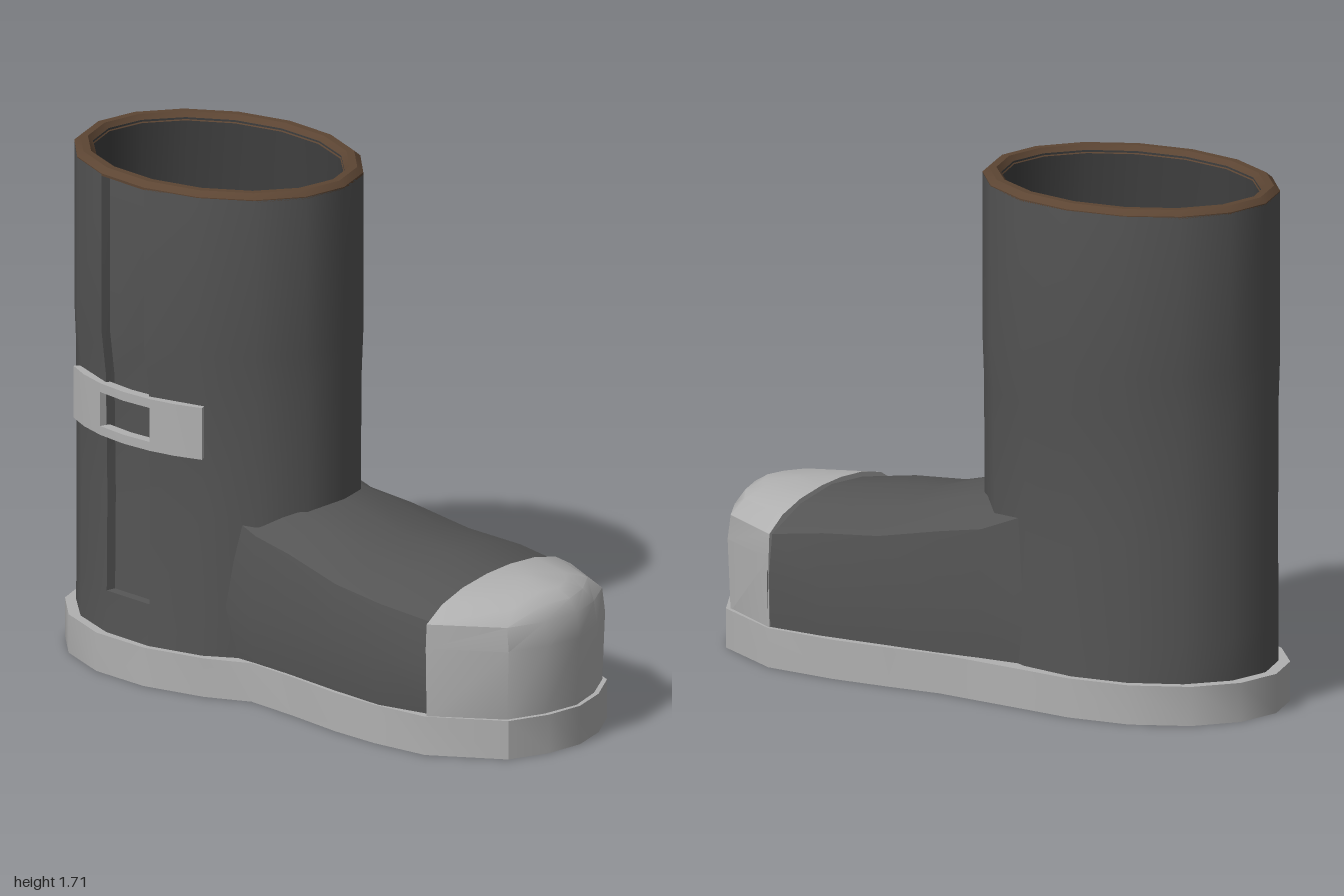
import * as THREE from 'three';
import { toCreasedNormals } from 'three/addons/utils/BufferGeometryUtils.js';

const material = (name, color) => {
  const m = new THREE.MeshStandardMaterial({ color });
  m.name = name;
  return m;
};

// Skin between cross-section loops, with optional closed ends
function loft(loops, capStart = false, capEnd = false) {
  const n = loops[0].length, pos = loops.flat(2), idx = [];
  for (let i = 0; i < loops.length - 1; i++) {
    for (let j = 0; j < n; j++) {
      const k = (j + 1) % n, a = i * n + j, b = i * n + k;
      idx.push(a, b, b + n, a, b + n, a + n);
    }
  }
  const cap = (row, flip) => {
    const c = pos.length / 3;
    for (let d = 0; d < 3; d++) pos.push(loops[row].reduce((s, p) => s + p[d], 0) / n);
    for (let j = 0; j < n; j++) {
      const a = row * n + j, b = row * n + (j + 1) % n;
      if (flip) idx.push(c, b, a); else idx.push(c, a, b);
    }
  };
  if (capStart) cap(0, true);
  if (capEnd) cap(loops.length - 1, false);
  const g = new THREE.BufferGeometry();
  g.setAttribute('position', new THREE.Float32BufferAttribute(pos, 3));
  g.setIndex(idx);
  return toCreasedNormals(g, 0.6);
}

// Point on the oval leg of the boot
const CZ = -0.455, RX = 0.395, RZ = 0.505;
const oval = (deg, y, inset = 0, rx = RX) => {
  const t = THREE.MathUtils.degToRad(deg);
  return [(rx - inset) * Math.cos(t), y, CZ - (RZ - inset) * Math.sin(t)];
};
const steps = Array.from({ length: 16 }, (_, i) => i * 22.5);
const ring = (y, inset, rx) => steps.map(d => oval(d, y, inset, rx));

export function createModel() {
  const model = new THREE.Group();
  model.name = 'boot';
  const dark = material('dark rubber', 0x555555);
  const lining = material('lining', 0x3e3e3e);
  const light = material('light grey', 0xb0b0b0);
  const brown = material('brown trim', 0x5c4533);
  const add = (name, geometry, mat, parent = model) => {
    const mesh = new THREE.Mesh(geometry, mat);
    mesh.name = name;
    parent.add(mesh);
    return mesh;
  };

  // Sole, arched in at the middle
  const outline = [
    [0, 1], [0.13, 0.975], [0.26, 0.91], [0.39, 0.67], [0.4, 0.42], [0.385, 0.22], [0.367, 0.04],
    [0.375, -0.1], [0.385, -0.3], [0.395, -0.46], [0.365, -0.67], [0.275, -0.85], [0.15, -0.96],
    [0, -1], [-0.15, -0.96], [-0.275, -0.85], [-0.365, -0.67], [-0.392, -0.46], [-0.36, -0.24],
    [-0.305, -0.09], [-0.335, 0.1], [-0.375, 0.3], [-0.392, 0.47], [-0.387, 0.67],
    [-0.26, 0.91], [-0.13, 0.975],
  ];
  const soleShape = new THREE.Shape(outline.map(([x, z]) => new THREE.Vector2(x, -z)));
  const sole = new THREE.ExtrudeGeometry(soleShape, { depth: 0.13, bevelEnabled: false });
  sole.rotateX(-Math.PI / 2);
  add('sole', toCreasedNormals(sole, 0.6), light);

  // Leg with a recessed vertical channel on its right side
  const legRows = [
    [0.12, 0.37, 0], [0.27, 0.366, 0], [0.272, 0.366, 0.03], [0.6, 0.362, 0.03],
    [1.0, 0.37, 0.03], [1.15, RX, 0.03], [1.685, RX, 0.03],
  ];
  const legLoop = ([y, rx, groove]) => {
    const loop = ring(y, 0, rx);
    loop.splice(8, 0, oval(157.7, y, groove, rx), oval(179.8, y, groove, rx));
    return loop;
  };
  add('leg', loft(legRows.map(legLoop)), dark);

  // Chamfered rim and inside of the leg
  const rimRows = [[1.68, 0.07], [1.68, 0], [1.688, 0], [1.705, 0.02], [1.705, 0.045], [1.68, 0.065]];
  add('rim', loft(rimRows.map(([y, inset]) => ring(y, inset))), brown);
  add('lining', loft([ring(1.69, 0.062), ring(1.15, 0.07), ring(0.16, 0.085)], false, true), lining);

  // Foot: z, left-hand and right-hand half widths, edge height, top height
  const footRows = [
    [-0.25, 0.30, 0.335, 0.62, 0.70], [-0.09, 0.315, 0.345, 0.555, 0.66],
    [0.06, 0.335, 0.362, 0.53, 0.63], [0.28, 0.375, 0.375, 0.485, 0.565],
    [0.48, 0.403, 0.387, 0.468, 0.545], [0.68, 0.375, 0.383, 0.435, 0.515],
  ];
  const footLoop = ([z, l, r, edge, top]) => [
    [r - 0.01, 0.12, z], [r, 0.3, z], [r - 0.02, edge, z],
    [r * 0.5, edge + (top - edge) * 0.75, z], [0, top, z],
    [-l * 0.5, edge + (top - edge) * 0.75, z], [-l + 0.03, edge, z],
    [-l, 0.3, z], [-l + 0.02, 0.12, z],
  ];
  add('foot', loft(footRows.map(footLoop), false, true), dark);

  // Toe cap: height, forward reach, half width
  const capRows = [
    [0.12, 0.96, 0.38], [0.36, 1, 0.385], [0.44, 0.96, 0.38],
    [0.485, 0.88, 0.3], [0.513, 0.74, 0.19], [0.526, 0.4, 0.06],
  ];
  const capOutline = [
    [1, 0], [0.66, 0.72], [0.34, 0.91], [0, 1], [-0.34, 0.91], [-0.66, 0.72], [-1, 0],
  ].reverse();
  const capLoop = ([y, reach, w]) =>
    capOutline.map(([x, z]) => [x * w, y, 0.672 + z * reach * 0.326]);
  add('toeCap', loft(capRows.map(capLoop), true, true), light);

  // Buckle plate wrapped round the leg, open over the channel
  const buckle = new THREE.Group();
  buckle.name = 'buckle';
  model.add(buckle);
  const band = (name, angles, y0, y1) => {
    const section = d => [
      oval(d, y0, 0.01, 0.365), oval(d, y1, 0.01, 0.365),
      oval(d, y1, -0.025, 0.365), oval(d, y0, -0.025, 0.365),
    ];
    add(name, loft(angles.map(section), true, true), light, buckle);
  };
  band('buckleBack', [135, 146, 157.5], 0.8, 0.975);
  band('buckleFront', [182, 192, 203], 0.8, 0.975);
  band('buckleTop', [157.5, 170, 182], 0.945, 0.975);
  band('buckleBottom', [157.5, 170, 182], 0.8, 0.83);

  return model;
}
